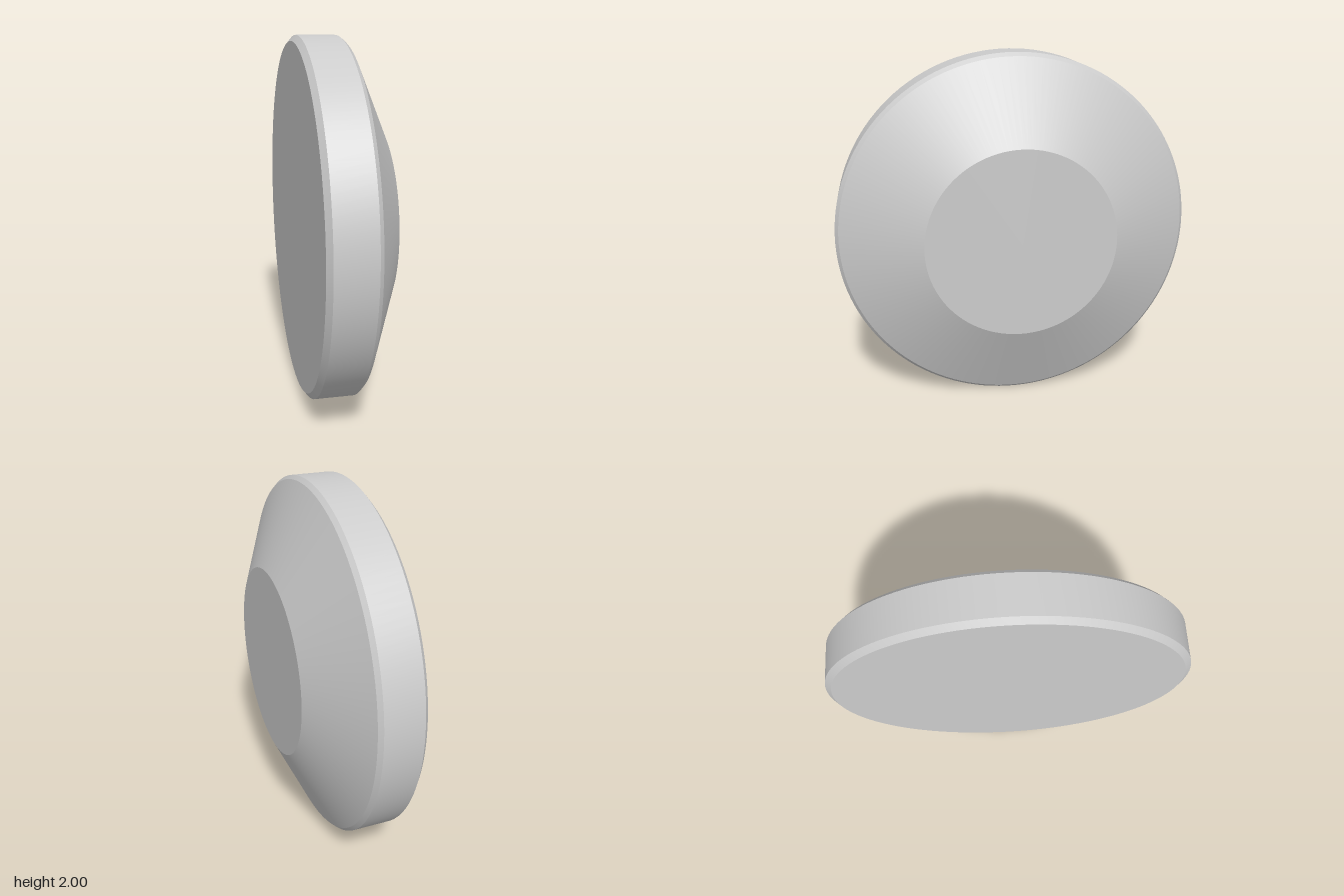
import * as THREE from 'three';
import { toCreasedNormals } from 'three/addons/utils/BufferGeometryUtils.js';

export function createModel() {
  const group = new THREE.Group();
  const material = new THREE.MeshStandardMaterial({ color: 0xcccccc });

  // Half profile: radius, distance along the axis
  const profile = [
    [0, -0.232],     // flat back
    [0.968, -0.232],
    [1, -0.205],     // back chamfer
    [1, 0.005],      // straight rim
    [0.98, 0.027],   // front chamfer
    [0.53, 0.232],   // cone
    [0, 0.232],      // flat cap
  ].map(([r, a]) => new THREE.Vector2(r, a));

  // Turn the axis to +x, with its very slight yaw
  const geometry = new THREE.LatheGeometry(profile, 128);
  geometry.rotateZ(-Math.PI / 2);
  geometry.rotateY(0.008);
  geometry.translate(0, 1, 0);

  const disc = new THREE.Mesh(toCreasedNormals(geometry, 0.3), material);
  disc.name = 'chamferedDisc';
  group.add(disc);
  return group;
}
